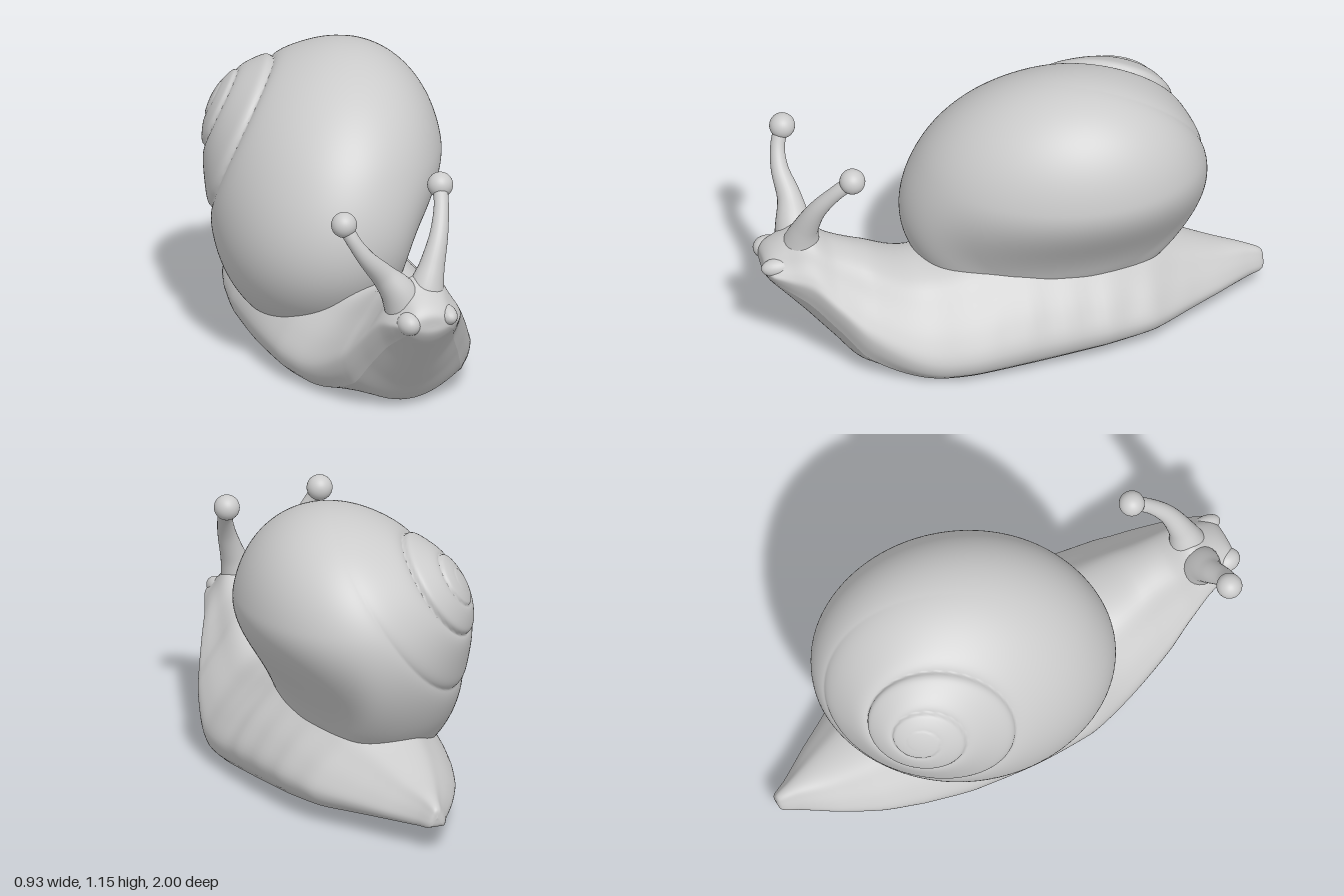
import * as THREE from 'three';
import { mergeVertices } from 'three/addons/utils/BufferGeometryUtils.js';

const material = new THREE.MeshStandardMaterial({ color: 0xcccccc });
const { smoothstep } = THREE.MathUtils;

// Smooth surface from a grid of points f(u, v), with u and v from 0 to 1.
function gridGeometry(rows, cols, f) {
  const positions = [], index = [];
  for (let i = 0; i <= rows; i++)
    for (let j = 0; j <= cols; j++) positions.push(...f(i / rows, j / cols).toArray());
  for (let i = 0; i < rows; i++)
    for (let j = 0; j < cols; j++) {
      const a = i * (cols + 1) + j, b = a + cols + 1;
      index.push(a, b, a + 1, b, b + 1, a + 1);
    }
  const geometry = new THREE.BufferGeometry();
  geometry.setAttribute('position', new THREE.Float32BufferAttribute(positions, 3));
  geometry.setIndex(index);
  const merged = mergeVertices(geometry, 1e-5);
  merged.computeVertexNormals();
  return merged;
}

function part(name, geometry) {
  const mesh = new THREE.Mesh(geometry, material);
  mesh.name = name;
  return mesh;
}

// Body stations from tail to head: z, bottom y, top y, right edge x, left edge x
const stations = [
  [-1.0, 0.135, 0.135, 0, 0],
  [-0.99, 0.098, 0.17, -0.035, 0.03],
  [-0.93, 0.09, 0.2, -0.07, 0.06],
  [-0.8, 0.083, 0.24, -0.155, 0.14],
  [-0.65, 0.073, 0.3, -0.235, 0.225],
  [-0.5, 0.064, 0.37, -0.29, 0.31],
  [-0.3, 0.052, 0.44, -0.34, 0.355],
  [0.0, 0.035, 0.475, -0.365, 0.382],
  [0.2, 0.022, 0.43, -0.355, 0.388],
  [0.4, 0.011, 0.4, -0.3, 0.355],
  [0.58, 0.001, 0.475, -0.25, 0.295],
  [0.63, 0.01, 0.495, -0.235, 0.27],
  [0.72, 0.105, 0.53, -0.205, 0.215],
  [0.82, 0.215, 0.592, -0.175, 0.15],
  [0.9, 0.305, 0.55, -0.155, 0.115],
  [0.96, 0.375, 0.505, -0.135, 0.085],
  [0.98, 0.41, 0.475, -0.1, 0.05],
  [0.982, 0.44, 0.44, -0.025, -0.025],
];
const spineCurve = new THREE.CatmullRomCurve3(
  stations.map(([z, b, t]) => new THREE.Vector3(z, b, t)), false, 'centripetal');
const widthCurve = new THREE.CatmullRomCurve3(
  stations.map(([, , , r, l]) => new THREE.Vector3(r, l, 0)), false, 'centripetal');

// Half outline of a body section: (share of width, share of height)
const half = [[0.86, 0], [0.97, 0.1], [1, 0.24], [0.88, 0.46], [0.66, 0.7], [0.4, 0.92]];
const skinCurve = new THREE.CatmullRomCurve3([
  ...half.map(([s, h]) => new THREE.Vector3(-s, h, 0)),
  new THREE.Vector3(0, 1, 0),
  ...half.map(([s, h]) => new THREE.Vector3(s, h, 0)).reverse(),
]);

function bodyPoint(u, s, h) {
  const a = spineCurve.getPoint(u), w = widthCurve.getPoint(u), z = a.x;
  const mid = (w.x + w.y) / 2, halfWidth = (w.y - w.x) / 2;
  // rounded bow under the neck, fuller head, faint folds on the left flank
  const bow = 0.34 * smoothstep(z, 0.32, 0.74) * s * s;
  const full = 1 + 0.25 * smoothstep(z, 0.62, 0.88) * h;
  const fold = 1 + 0.012 * Math.sin(z * 38 + h * 3) * Math.sin(Math.PI * h)
    * smoothstep(s, 0, 0.5) * smoothstep(-z, -0.3, 0) * smoothstep(z, -0.8, -0.5);
  const height = h + bow * (1 - h);
  return new THREE.Vector3(mid + s * halfWidth * full * fold, a.y + height * (a.z - a.y), z);
}

// Shell: a sheared ellipsoid whose pole is the apex, with a spiral seam and raised spire
function shellGeometry() {
  const centre = new THREE.Vector3(0, 0.622, -0.178);
  const shape = new THREE.Matrix4().set(
    0.464, 0, 0, 0,
    0.108, 0.522, 0, 0,
    -0.083, -0.025, 0.573, 0,
    0, 0, 0, 1);
  const pole = new THREE.Vector3(-0.69, 0.69, -0.71).normalize();
  const e1 = new THREE.Vector3(-0.835, 0, 0.55);
  e1.addScaledVector(pole, -e1.dot(pole)).normalize();
  const e2 = pole.clone().cross(e1);
  const growth = 2.3;
  return gridGeometry(200, 128, (u, v) => {
    const t = Math.PI * Math.pow(u, 1.4);           // angle away from the apex
    const p = (v % 1) * Math.PI * 2;                // angle around the apex
    const turn = Math.log(Math.max(t, 0.03) / 0.62) / Math.log(growth) + p / (Math.PI * 2);
    const f = turn - Math.floor(turn);              // place across the whorl
    const seam = Math.exp(-7 * f) + Math.exp(-22 * (1 - f));
    const depth = 0.12 * t * smoothstep(t, 0.04, 0.16) * Math.exp(-Math.pow(t / 0.75, 4));
    const radius = 1 + 0.2 * Math.exp(-Math.pow(t / 0.42, 2)) - depth * seam;
    const q = pole.clone().multiplyScalar(Math.cos(t))
      .addScaledVector(e1, Math.sin(t) * Math.cos(p))
      .addScaledVector(e2, Math.sin(t) * Math.sin(p))
      .multiplyScalar(radius).applyMatrix4(shape).add(centre);
    // draw the lower left side in towards the foot, and the opening forward
    const low = smoothstep(-q.y, -0.8, -0.37);
    q.x *= 1 - 0.3 * low * smoothstep(q.x, 0, 0.3);
    q.z += 0.025 * low;
    return q;
  });
}

// Tapered tube through points given as [x, y, z, radius]
function taperedTube(points) {
  const curve = new THREE.CatmullRomCurve3(points.map(([x, y, z]) => new THREE.Vector3(x, y, z)));
  const radii = new THREE.CatmullRomCurve3(points.map((p) => new THREE.Vector3(p[3], 0, 0)));
  const rows = 32, frames = curve.computeFrenetFrames(rows);
  return gridGeometry(rows, 24, (u, v) => {
    const i = Math.round(u * rows), angle = -(v % 1) * Math.PI * 2;
    const t = curve.getUtoTmapping(u), r = radii.getPoint(t).x;
    return curve.getPoint(t)
      .addScaledVector(frames.normals[i], r * Math.cos(angle))
      .addScaledVector(frames.binormals[i], r * Math.sin(angle));
  });
}

function eyeStalk(side, points, eyeRadius) {
  const group = new THREE.Group();
  group.name = side + 'EyeStalk';
  const eye = part(side + 'Eye', new THREE.SphereGeometry(eyeRadius, 32, 20));
  eye.position.set(...points[points.length - 1].slice(0, 3));
  group.add(part(side + 'Stalk', taperedTube(points)), eye);
  return group;
}

// Short lower feeler: a rounded bump on the face
function feeler(side, x, y, z, radius, length) {
  const mesh = part(side + 'Feeler', new THREE.SphereGeometry(1, 24, 16));
  mesh.scale.set(radius, radius, length);
  mesh.position.set(x, y, z);
  return mesh;
}

export function createModel() {
  const model = new THREE.Group();
  model.name = 'snail';

  // Foot and neck, with a sole that rounds up into the neck
  model.add(part('body', gridGeometry(150, 64, (u, v) => {
    const c = skinCurve.getPoint(v);
    return bodyPoint(u, c.x, c.y);
  })));
  model.add(part('sole', gridGeometry(150, 16, (u, v) => bodyPoint(u, 0.86 * (1 - 2 * v), 0))));

  model.add(part('shell', shellGeometry()));

  // Eye stalks
  model.add(eyeStalk('right', [
    [-0.07, 0.45, 0.835, 0.085], [-0.11, 0.54, 0.835, 0.07], [-0.17, 0.615, 0.835, 0.048],
    [-0.25, 0.705, 0.855, 0.034], [-0.3, 0.78, 0.85, 0.028], [-0.33, 0.845, 0.825, 0.029],
  ], 0.05));
  model.add(eyeStalk('left', [
    [-0.01, 0.45, 0.835, 0.085], [0.01, 0.54, 0.83, 0.07], [0.037, 0.62, 0.82, 0.05],
    [0.08, 0.73, 0.785, 0.036], [0.115, 0.82, 0.725, 0.029], [0.137, 0.885, 0.66, 0.028],
  ], 0.05));

  // Short lower feelers
  model.add(feeler('right', -0.106, 0.445, 0.94, 0.046, 0.055));
  model.add(feeler('left', 0.052, 0.46, 0.93, 0.038, 0.07));

  return model;
}
